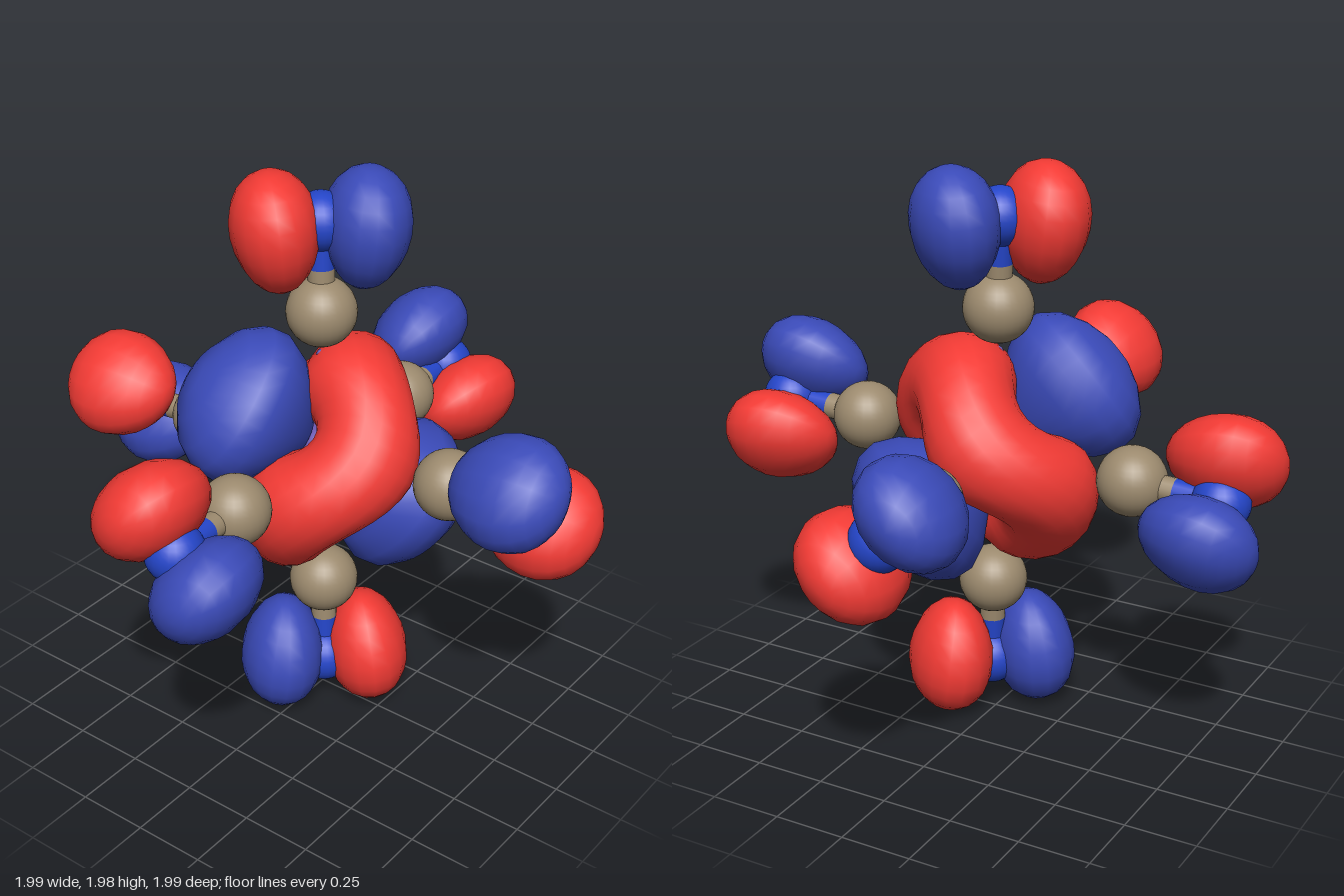
import * as THREE from 'three';
import { mergeVertices } from 'three/addons/utils/BufferGeometryUtils.js';

const V = (x, y, z) => new THREE.Vector3(x, y, z);
const paint = (color) => new THREE.MeshStandardMaterial({ color });
const red = paint(0xf23a34), blue = paint(0x3a4ab8), tan = paint(0x9c8a6e);
const deepBlue = paint(0x2445c8), violet = paint(0x6a58b0);

// Moves every vertex by a rule, then welds seams so the normals stay smooth
function reshape(geometry, rule) {
  const p = geometry.attributes.position, v = V(0, 0, 0);
  for (let i = 0; i < p.count; i++) {
    rule(v.fromBufferAttribute(p, i));
    p.setXYZ(i, v.x, v.y, v.z);
  }
  geometry.deleteAttribute('uv');
  geometry.deleteAttribute('normal');
  const welded = mergeVertices(geometry, 1e-4);
  welded.computeVertexNormals();
  return welded;
}

function add(parent, name, geometry, material, position) {
  const mesh = new THREE.Mesh(geometry, material);
  mesh.name = name;
  if (position) mesh.position.copy(position);
  parent.add(mesh);
  return mesh;
}

function rod(parent, name, from, to, radius, material) {
  const mesh = add(parent, name, new THREE.CylinderGeometry(radius, radius, from.distanceTo(to), 16),
    material, from.clone().lerp(to, 0.5));
  mesh.quaternion.setFromUnitVectors(V(0, 1, 0), to.clone().sub(from).normalize());
}

// Central ring and the two lobes on the diagonal axis (local z)
function centralOrbital() {
  const group = new THREE.Group();
  group.name = 'centralOrbital';
  const axis = V(-1, 1, 1).normalize(), e1 = V(1, 2, -1).normalize();
  group.quaternion.setFromRotationMatrix(
    new THREE.Matrix4().makeBasis(e1, axis.clone().cross(e1), axis));

  // Ring puckered three times toward the arms
  const ring = reshape(new THREE.TorusGeometry(0.248, 0.18, 20, 40), (v) => {
    v.z += 0.045 * Math.cos(3 * Math.atan2(v.y, v.x));
  });
  add(group, 'ring', ring, red);

  // Lobe with a softly triangular section
  const profile = [[0, 0.06], [0.07, 0.09], [0.16, 0.16], [0.235, 0.24], [0.272, 0.32],
    [0.265, 0.39], [0.22, 0.455], [0.14, 0.505], [0.06, 0.53], [0, 0.535]]
    .map(([r, h]) => new THREE.Vector2(r, h));
  const lobe = reshape(new THREE.LatheGeometry(profile, 28).rotateX(Math.PI / 2), (v) => {
    const k = 1 + 0.05 * Math.cos(3 * Math.atan2(v.y, v.x));
    v.x *= k;
    v.y *= k;
  });
  add(group, 'upperLobe', lobe, blue);
  add(group, 'lowerLobe', lobe, blue).rotation.y = Math.PI;
  return group;
}

// Egg-shaped outer lobe: local x = separation, y = along the arm, fuller outward
const outerLobe = reshape(new THREE.SphereGeometry(1, 16, 12), (v) => {
  const k = 1 + 0.1 * v.y;
  v.set(v.x * 0.147 * k, v.y * 0.205, v.z * 0.195 * k);
});

// One arm: dotted link, inner atom, bond, outer atom and a pair of lobes
function arm(inner, apart, plus, minus) {
  const group = new THREE.Group();
  group.name = 'arm';
  const dir = inner.clone().normalize();
  const at = (d) => dir.clone().multiplyScalar(d);
  for (let d = 0.14; d < 0.4; d += 0.07)
    add(group, 'linkDot', new THREE.SphereGeometry(0.02, 10, 8), violet, at(d));
  add(group, 'innerAtom', new THREE.SphereGeometry(0.12, 28, 20), tan, inner);
  rod(group, 'innerBond', at(0.5), at(0.66), 0.045, tan);
  rod(group, 'outerBond', at(0.66), at(0.82), 0.045, deepBlue);
  add(group, 'outerAtom', new THREE.SphereGeometry(0.1, 24, 16), deepBlue, at(0.82));

  const side = apart.clone().addScaledVector(dir, -apart.dot(dir)).normalize();
  for (const [sign, material] of [[1, plus], [-1, minus]]) {
    const x = side.clone().multiplyScalar(sign);
    const lobe = add(group, 'outerLobe', outerLobe, material, at(0.79).addScaledVector(x, 0.15));
    // Lean each lobe slightly away from its partner
    const y = dir.clone().addScaledVector(x, 0.1).normalize();
    x.addScaledVector(y, -x.dot(y)).normalize();
    lobe.quaternion.setFromRotationMatrix(
      new THREE.Matrix4().makeBasis(x, y, x.clone().cross(y)));
  }
  return group;
}

export function createModel() {
  const model = new THREE.Group();
  model.name = 'orbitalModel';
  const body = new THREE.Group();
  body.name = 'body';
  body.position.y = 1;
  model.add(body);

  add(body, 'centreAtom', new THREE.SphereGeometry(0.1, 20, 14), violet);
  body.add(centralOrbital());

  // Three arms and their opposites through the centre
  const arms = [
    [V(0.505, 0.035, -0.02), V(0, 1, 1), blue, red],
    [V(-0.025, 0.505, -0.027), V(-1, 0, 1), red, blue],
    [V(0.03, 0.02, 0.505), V(-1, 1, 0), red, blue],
  ];
  for (const [inner, apart, plus, minus] of arms)
    for (const s of [1, -1])
      body.add(arm(inner.clone().multiplyScalar(s), apart.clone().multiplyScalar(s), plus, minus));
  return model;
}
